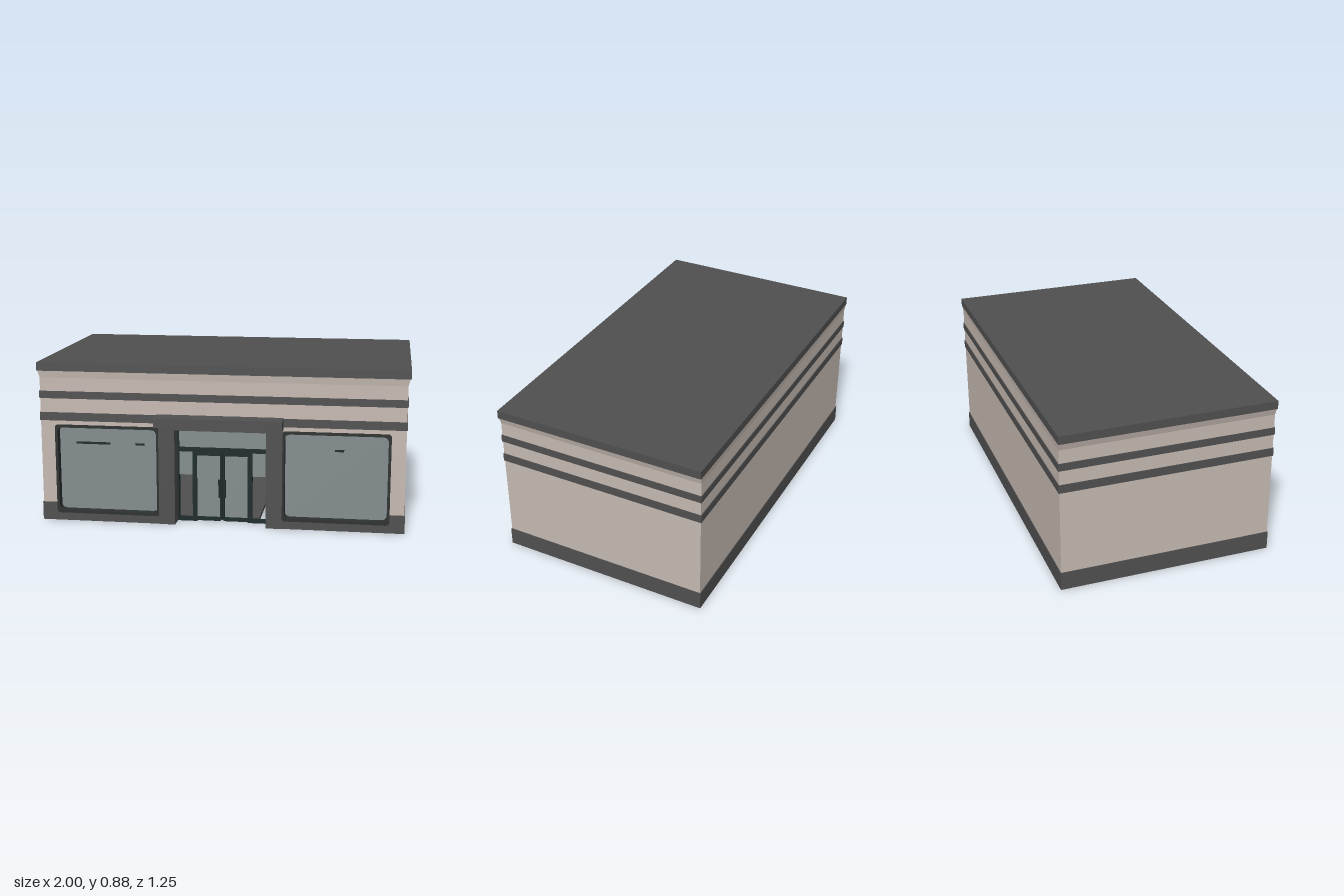
import * as THREE from 'three';

const material = (name, color, side = THREE.FrontSide) => {
  const m = new THREE.MeshStandardMaterial({ color, side });
  m.name = name;
  return m;
};

export function createModel() {
  const model = new THREE.Group();
  model.name = 'shopBuilding';
  const beige = material('beigeWall', 0xc6bab2);
  const charcoal = material('charcoalTrim', 0x505050);
  const glass = material('greyGlass', 0x848d8e, THREE.DoubleSide);
  const frameDark = material('darkFrame', 0x1c2a2a);
  const rimDark = material('windowRim', 0x2e3131);

  const add = (name, geometry, mat) => {
    const mesh = new THREE.Mesh(geometry, mat);
    mesh.name = name;
    model.add(mesh);
    return mesh;
  };
  // Box given by its limits on each axis
  const box = (name, mat, x0, x1, y0, y1, z0, z1) => {
    const g = new THREE.BoxGeometry(x1 - x0, y1 - y0, z1 - z0);
    g.translate((x0 + x1) / 2, (y0 + y1) / 2, (z0 + z1) / 2);
    return add(name, g, mat);
  };
  const roundedRect = (path, x0, x1, y0, y1, r) => {
    path.moveTo(x0 + r, y0);
    path.lineTo(x1 - r, y0);
    path.quadraticCurveTo(x1, y0, x1, y0 + r);
    path.lineTo(x1, y1 - r);
    path.quadraticCurveTo(x1, y1, x1 - r, y1);
    path.lineTo(x0 + r, y1);
    path.quadraticCurveTo(x0, y1, x0, y1 - r);
    path.lineTo(x0, y0 + r);
    path.quadraticCurveTo(x0, y0, x0 + r, y0);
    return path;
  };
  const extrude = (name, mat, shape, z0, z1) => {
    const g = new THREE.ExtrudeGeometry(shape, { depth: z1 - z0, bevelEnabled: false, curveSegments: 4 });
    g.translate(0, 0, z0);
    return add(name, g, mat);
  };

  const W = 0.985, FRONT = 0.53, BACK = -0.62, INNER = 0.43;
  const windows = [[0.335, 0.905], [-0.905, -0.335]];

  // Front wall with the entrance notch and two window openings
  const wall = new THREE.Shape();
  [[-W, 0], [-0.25, 0], [-0.25, 0.53], [0.25, 0.53], [0.25, 0], [W, 0], [W, 0.83], [-W, 0.83]]
    .forEach(([x, y], i) => (i ? wall.lineTo(x, y) : wall.moveTo(x, y)));
  windows.forEach(([a, b]) => wall.holes.push(roundedRect(new THREE.Path(), a, b, 0.045, 0.535, 0.02)));
  extrude('frontWall', beige, wall, INNER, FRONT);

  // Remaining walls
  box('backWall', beige, -W, W, 0.003, 0.83, BACK, BACK + 0.04);
  for (const s of [-1, 1]) {
    const a = s * W, b = s * (W - 0.04);
    box('sideWall', beige, Math.min(a, b), Math.max(a, b), 0.003, 0.83, BACK, FRONT - 0.001);
  }

  // Floor slabs, open along one strip and at the entrance
  box('floorLeft', charcoal, 0.34, W - 0.002, 0, 0.02, BACK + 0.002, FRONT - 0.002);
  box('floorRight', charcoal, -W + 0.002, 0.2, 0, 0.02, BACK + 0.002, 0.41);
  box('floorFrontRight', charcoal, -W + 0.002, -0.25, 0, 0.02, 0.41, FRONT - 0.002);
  box('floorBackEdge', charcoal, 0.2, 0.34, 0, 0.02, BACK + 0.002, BACK + 0.04);

  // Stripes round the whole building
  for (const [y0, y1] of [[0.56, 0.605], [0.682, 0.722]]) {
    box('wallStripe', charcoal, -W - 0.004, W + 0.004, y0, y1, FRONT - 0.01, FRONT + 0.004);
    box('wallStripe', charcoal, -W - 0.004, W + 0.004, y0, y1, BACK - 0.004, BACK + 0.01);
    for (const s of [-1, 1])
      box('wallStripe', charcoal, s * W - 0.004, s * W + 0.004, y0, y1, BACK, FRONT);
  }

  // Dark plinth
  box('basePlinth', charcoal, -W - 0.004, W + 0.004, 0, 0.1, BACK - 0.004, BACK + 0.01);
  for (const s of [-1, 1]) {
    const span = (a, b) => [Math.min(s * a, s * b), Math.max(s * a, s * b)];
    box('basePlinth', charcoal, s * W - 0.004, s * W + 0.004, 0, 0.1, BACK, FRONT);
    box('basePlinth', charcoal, ...span(0.9, W + 0.004), 0, 0.1, FRONT - 0.01, FRONT + 0.004);
    box('windowSillPlinth', charcoal, ...span(0.33, 0.9), 0, 0.05, FRONT - 0.01, FRONT + 0.004);
    // Pillar beside the entrance
    box('entrancePillar', charcoal, ...span(0.247, 0.335), 0, 0.55, INNER - 0.002, FRONT + 0.008);
  }

  // Flared wall top and flat roof
  const flare = new THREE.BoxGeometry(2 * W, 0.04, FRONT - BACK);
  const p = flare.attributes.position;
  for (let i = 0; i < p.count; i++)
    if (p.getY(i) > 0) p.setXYZ(i, p.getX(i) * 1.011, p.getY(i), p.getZ(i) * 1.007);
  flare.translate(0, 0.815, (FRONT + BACK) / 2);
  flare.computeVertexNormals();
  add('flaredCornice', flare, beige);
  box('roof', charcoal, -1, 1, 0.832, 0.877, -0.625, 0.536);

  // Shop windows: rim lining the opening, and the pane set back
  windows.forEach(([a, b]) => {
    const rim = roundedRect(new THREE.Shape(), a - 0.003, b + 0.003, 0.042, 0.538, 0.02);
    rim.holes.push(roundedRect(new THREE.Path(), a + 0.012, b - 0.012, 0.058, 0.522, 0.03));
    extrude('windowRim', rimDark, rim, 0.475, FRONT + 0.005);
    box('windowPane', glass, a, b, 0.046, 0.534, 0.484, 0.49);
  });
  // Small dark streaks on the panes
  for (const [x0, x1] of [[-0.8, -0.61], [-0.47, -0.42], [0.61, 0.66]])
    box('windowStreak', frameDark, x0, x1, 0.425, 0.437, 0.489, 0.493);

  // Canopy with a slanted underside
  const canopy = new THREE.Shape();
  [[0.52, 0.55], [0.56, 0.545], [0.62, 0.555], [0.62, 0.605], [0.52, 0.61]]
    .forEach(([z, y], i) => (i ? canopy.lineTo(-z, y) : canopy.moveTo(-z, y)));
  const canopyGeo = new THREE.ExtrudeGeometry(canopy, { depth: 0.685, bevelEnabled: false });
  canopyGeo.rotateY(Math.PI / 2);
  canopyGeo.translate(-0.345, 0, 0);
  add('entranceCanopy', canopyGeo, charcoal);
  box('entranceHeader', charcoal, -0.25, 0.25, 0.525, 0.55, INNER - 0.002, FRONT + 0.008);

  // Entrance frame
  const Z0 = 0.425, Z1 = 0.455;
  box('doorTransomBar', frameDark, -0.25, 0.25, 0.392, 0.415, Z0, Z1);
  box('doorHeadFrame', frameDark, -0.25, 0.25, 0.51, 0.527, Z0, Z1);
  box('transomPane', glass, -0.24, 0.24, 0.413, 0.512, 0.437, 0.443);
  for (const s of [-1, 1]) {
    const span = (a, b) => [Math.min(s * a, s * b), Math.max(s * a, s * b)];
    box('doorJamb', frameDark, ...span(0.238, 0.25), 0, 0.52, Z0, Z1);
    box('doorPost', frameDark, ...span(0.14, 0.164), 0, 0.4, Z0, Z1);
    box('sidelightSill', frameDark, ...span(0.16, 0.24), 0, 0.018, Z0, Z1);
    box('sidelightPane', glass, ...span(0.16, 0.24), 0.26, 0.393, 0.437, 0.443);
    // Door leaf: stiles, rails, pane and handle
    box('doorStile', frameDark, ...span(0.002, 0.013), 0.01, 0.392, Z0, Z1);
    box('doorTopRail', frameDark, ...span(0.01, 0.145), 0.372, 0.393, Z0, Z1);
    box('doorBottomRail', frameDark, ...span(0.01, 0.145), 0.005, 0.025, Z0, Z1);
    box('doorPane', glass, ...span(0.01, 0.145), 0.02, 0.375, 0.437, 0.443);
    box('doorHandle', frameDark, ...span(0.01, 0.02), 0.14, 0.24, Z1, Z1 + 0.012);
  }
  return model;
}
